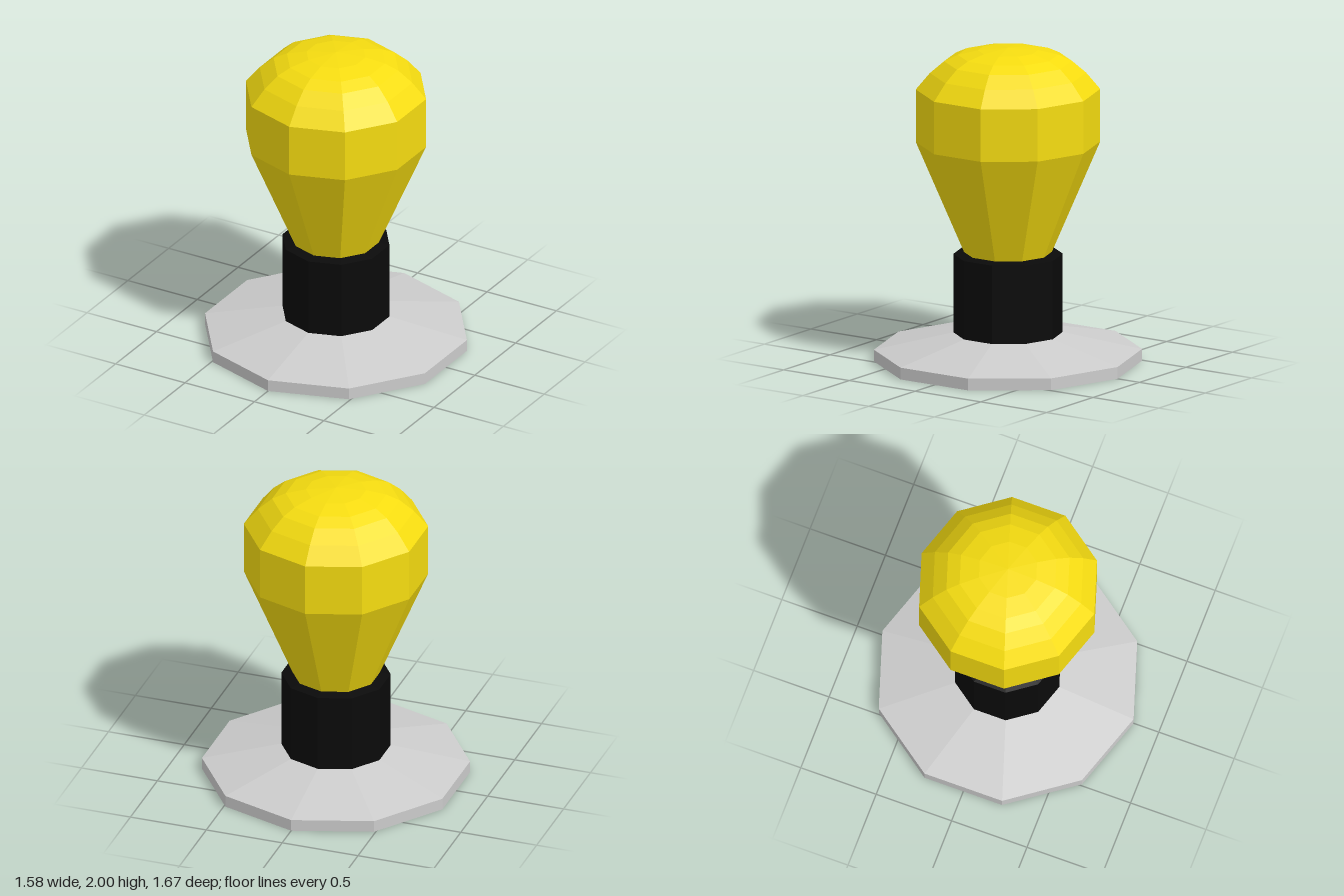
import * as THREE from 'three';

const SIDES = 10;

// Faceted solid of revolution from [radius, height] pairs, bottom to top
function turned(name, color, profile) {
  const points = profile.map(([r, y]) => new THREE.Vector2(r, y));
  const geometry = new THREE.LatheGeometry(points, SIDES).toNonIndexed();
  geometry.computeVertexNormals();
  const material = new THREE.MeshStandardMaterial({ color, flatShading: true });
  const mesh = new THREE.Mesh(geometry, material);
  mesh.name = name;
  return mesh;
}

export function createModel() {
  const model = new THREE.Group();
  model.name = 'bulbLamp';

  // Wide foot: short rim, then a shallow slope up to the collar
  model.add(turned('base', 0xcccccc, [
    [0, 0], [0.833, 0], [0.833, 0.075], [0.34, 0.185], [0, 0.185],
  ]));

  // Dark collar with a slightly raised top
  model.add(turned('collar', 0x0a0a0a, [
    [0, 0.18], [0.34, 0.18], [0.34, 0.685], [0.28, 0.697], [0, 0.697],
  ]));

  // Bulb: flared neck, straight band and rounded dome
  model.add(turned('bulb', 0xf5dc10, [
    [0, 0.69], [0.27, 0.69], [0.573, 1.4], [0.573, 1.735],
    [0.485, 1.84], [0.397, 1.915], [0.312, 1.955], [0.187, 1.984], [0, 2],
  ]));

  return model;
}
